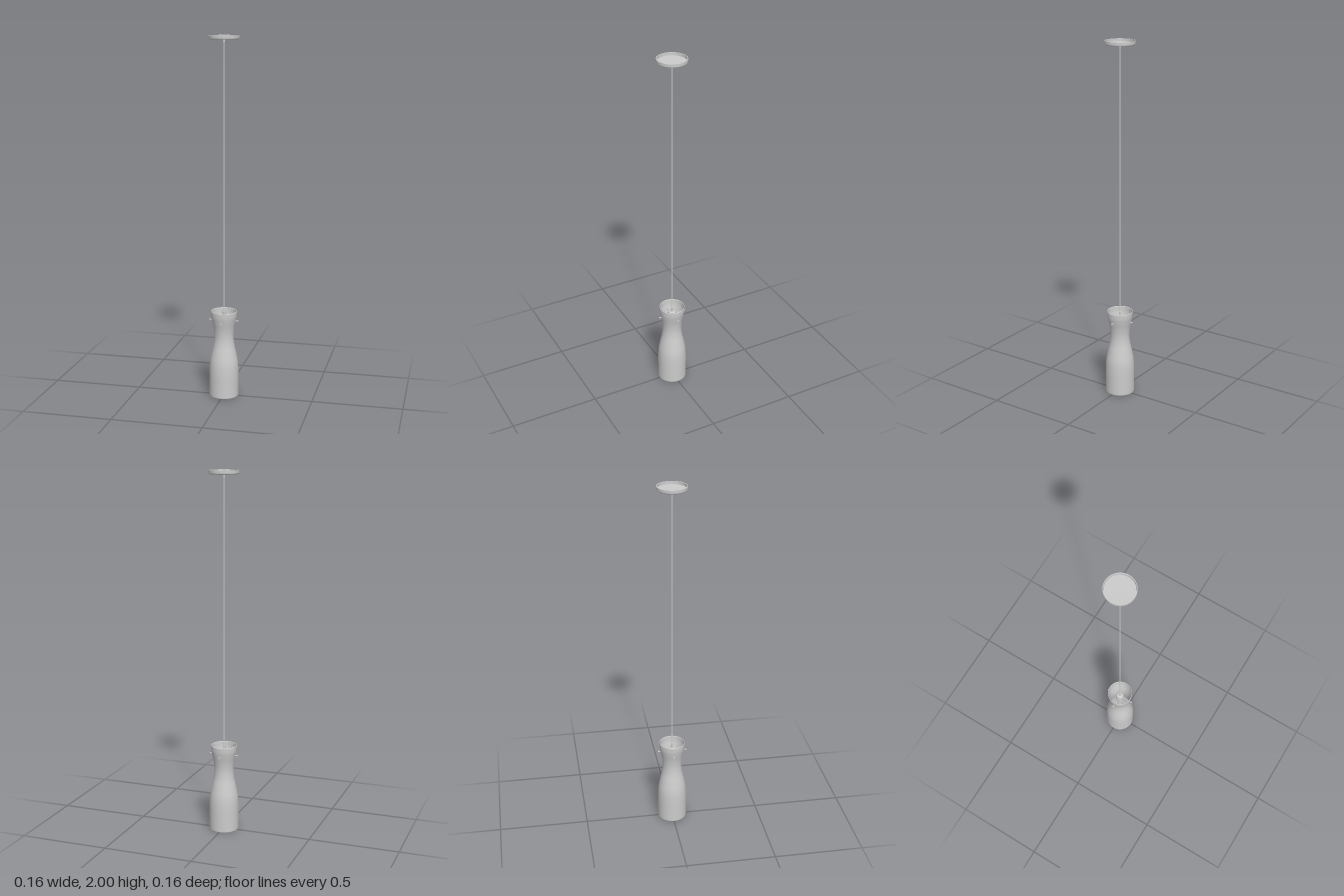
import * as THREE from 'three';

export function createModel() {
  const model = new THREE.Group();
  const material = new THREE.MeshStandardMaterial({ color: 0xcccccc, side: THREE.DoubleSide });
  const add = (name, geometry, parent = model) => {
    const mesh = new THREE.Mesh(geometry, material);
    mesh.name = name;
    parent.add(mesh);
    return mesh;
  };
  const v = (x, y) => new THREE.Vector2(x, y);
  const rod = (name, radius, y0, y1, sides = 24) => {
    const mesh = add(name, new THREE.CylinderGeometry(radius, radius, y1 - y0, sides));
    mesh.position.y = (y0 + y1) / 2;
    return mesh;
  };

  // Ceiling canopy: shallow tray, open at the top; doubled points keep edges crisp
  add('canopy', new THREE.LatheGeometry([
    v(0, 1.979), v(0.074, 1.979), v(0.078, 1.98), v(0.0805, 1.983), v(0.0812, 1.986),
    v(0.0812, 2), v(0.0812, 2), v(0.0775, 2), v(0.0775, 2),
    v(0.0775, 1.985), v(0.076, 1.983), v(0, 1.983),
  ], 64));

  // Suspension cord with a strain relief at each end
  rod('cord', 0.0035, 0.46, 1.98, 12);
  rod('canopyCordGrip', 0.006, 1.965, 1.98);
  rod('socketCordGrip', 0.007, 0.455, 0.485);

  // Waisted glass shade, open at both ends, with wall thickness
  const outer = new THREE.SplineCurve([
    v(0.0812, 0.004), v(0.0812, 0.07), v(0.0812, 0.14), v(0.078, 0.195), v(0.068, 0.25),
    v(0.0575, 0.3), v(0.0535, 0.345), v(0.057, 0.39), v(0.066, 0.435), v(0.0705, 0.46), v(0.072, 0.487),
  ]).getPoints(60);
  const wall = 0.004;
  const inner = outer.map((p) => v(p.x - wall, p.y)).reverse();
  add('shade', new THREE.LatheGeometry([
    v(0.0785, 0), v(0.0803, 0.001), ...outer, v(0.071, 0.4905), v(0.069, 0.4905),
    ...inner, v(0.0785, 0),
  ], 64));

  // Lamp socket inside the neck
  add('socket', new THREE.LatheGeometry([
    v(0, 0.36), v(0.022, 0.36), v(0.022, 0.36), v(0.022, 0.445), v(0.018, 0.455), v(0, 0.457),
  ], 32));

  // Four screws clamp the shade, with arms reaching in to the socket
  for (let i = 0; i < 4; i++) {
    const screw = new THREE.Group();
    screw.name = 'shadeScrew';
    screw.position.y = 0.435;
    screw.rotation.y = i * Math.PI / 2;
    const arm = add('screwShaft', new THREE.CylinderGeometry(0.0025, 0.0025, 0.06, 12), screw);
    arm.rotation.z = Math.PI / 2;
    arm.position.x = 0.049;
    const head = add('screwHead', new THREE.CylinderGeometry(0.005, 0.005, 0.006, 20), screw);
    head.rotation.z = Math.PI / 2;
    head.position.x = 0.079;
    model.add(screw);
  }
  return model;
}
